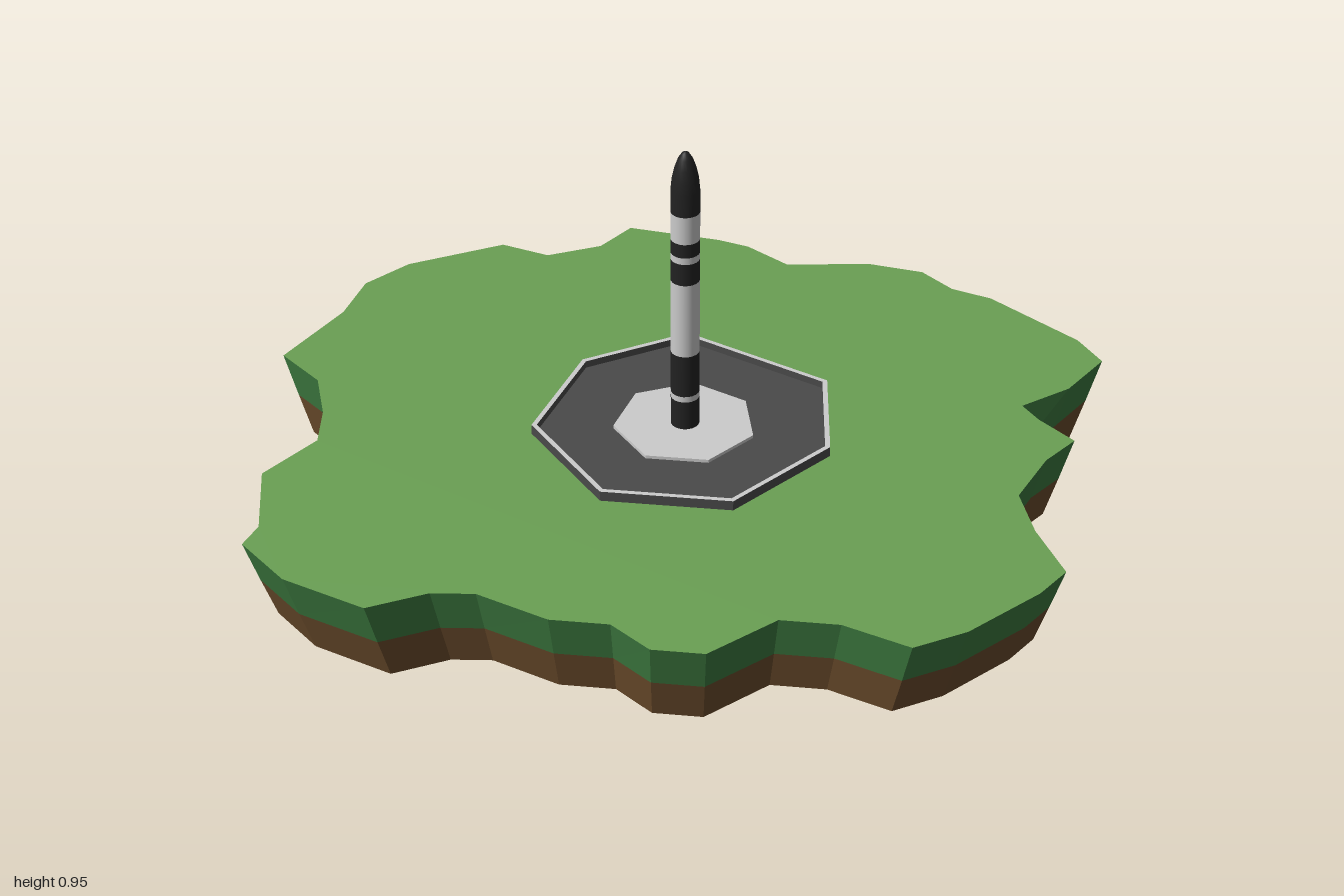
import * as THREE from 'three';

const mat = (color, flat = true) =>
  new THREE.MeshStandardMaterial({ color, flatShading: flat, side: THREE.DoubleSide });

const GRASS = 0x6aa054, TURF = 0x3d7a40, SOIL = 0x6b4c2c, UNDER = 0x4a3820;
const ASPHALT = 0x4a4a4a, GREY = 0xcccccc, BLACK = 0x222222;

// Island coastline as [x, z], clockwise seen from above
const COAST = [
  [-0.24, -0.89], [0, -0.855], [0.08, -0.83], [0.19, -0.75], [0.4, -0.78], [0.54, -0.755],
  [0.62, -0.68], [0.72, -0.645], [0.94, -0.47], [1, -0.38], [0.92, -0.245], [0.81, -0.155],
  [0.85, -0.1], [0.935, -0.02], [0.87, 0.07], [0.81, 0.22], [0.85, 0.355], [0.92, 0.5],
  [0.865, 0.585], [0.715, 0.74], [0.6, 0.81], [0.445, 0.75], [0.31, 0.75], [0.17, 0.885],
  [0.05, 0.885], [-0.045, 0.81], [-0.18, 0.81], [-0.35, 0.74], [-0.45, 0.75], [-0.58, 0.82],
  [-0.78, 0.74], [-0.9, 0.625], [-0.88, 0.555], [-0.925, 0.35], [-0.83, 0.2], [-0.845, 0.08],
  [-0.89, -0.055], [-1, -0.155], [-0.9, -0.375], [-0.875, -0.52], [-0.785, -0.63],
  [-0.56, -0.76], [-0.435, -0.72], [-0.305, -0.785],
];
const NOTCH = 11; // the inlet cuts less deeply at the base
const BASE = COAST.map(([x, z], i) => (i === NOTCH ? [0.835, -0.155] : [x * 0.936, z * 0.94]));

// Heptagonal launch area
const PAD = [[-0.02, -0.345], [0.34, -0.17], [0.37, 0.115], [0.17, 0.36],
  [-0.135, 0.36], [-0.335, 0.11], [-0.26, -0.19]];
const CENTRE = [0.02, 0.035];

const mix = (a, b, t) => a.map(([x, z], i) => [x + (b[i][0] - x) * t, z + (b[i][1] - z) * t]);
const shrink = (ring, s) =>
  ring.map(([x, z]) => [CENTRE[0] + (x - CENTRE[0]) * s, CENTRE[1] + (z - CENTRE[1]) * s]);
const toShape = (ring) => new THREE.Shape(ring.map(([x, z]) => new THREE.Vector2(x, -z)));

function add(group, name, geometry, color, flat = true) {
  const mesh = new THREE.Mesh(geometry, mat(color, flat));
  mesh.name = name;
  group.add(mesh);
  return mesh;
}

// Flat horizontal face with an optional hole
function face(ring, y, hole) {
  const shape = toShape(ring);
  if (hole) shape.holes.push(toShape(hole));
  return new THREE.ShapeGeometry(shape).rotateX(-Math.PI / 2).translate(0, y, 0);
}

// Downward facing flat face
function underside(ring, y) {
  const shape = new THREE.Shape(ring.map(([x, z]) => new THREE.Vector2(x, z)));
  return new THREE.ShapeGeometry(shape).rotateX(Math.PI / 2).translate(0, y, 0);
}

// Wall between a lower and an upper ring, facing outward
function wall(low, y0, high, y1) {
  const pos = [];
  low.forEach((a, i) => {
    const j = (i + 1) % low.length;
    const al = [a[0], y0, a[1]], bl = [low[j][0], y0, low[j][1]];
    const au = [high[i][0], y1, high[i][1]], bu = [high[j][0], y1, high[j][1]];
    pos.push(...bl, ...al, ...au, ...bl, ...au, ...bu);
  });
  const g = new THREE.BufferGeometry();
  g.setAttribute('position', new THREE.Float32BufferAttribute(pos, 3));
  g.computeVertexNormals();
  return g;
}

export function createModel() {
  const model = new THREE.Group();
  model.name = 'rocketOnIsland';

  // Island: grass top, turf band, soil band, underside
  const island = new THREE.Group();
  island.name = 'island';
  const middle = mix(BASE, COAST, 0.5);
  add(island, 'grassTop', face(COAST, 0.215), GRASS);
  add(island, 'turfBand', wall(middle, 0.105, COAST, 0.215), TURF);
  add(island, 'soilBand', wall(BASE, 0, middle, 0.105), SOIL);
  add(island, 'islandUnderside', underside(BASE, 0), UNDER);
  model.add(island);

  // Launch area: recessed floor inside a low kerb, with a central plate
  const pad = new THREE.Group();
  pad.name = 'launchPad';
  const inner = shrink(PAD, 0.965);
  add(pad, 'padOuterWall', wall(PAD, 0.213, PAD, 0.24), ASPHALT);
  add(pad, 'kerbTop', face(PAD, 0.24, inner), GREY);
  add(pad, 'kerbInnerWall', wall([...inner].reverse(), 0.222, [...inner].reverse(), 0.24), ASPHALT);
  add(pad, 'padFloor', face(inner, 0.222), ASPHALT);
  const plate = add(pad, 'centrePlate', new THREE.CylinderGeometry(0.17, 0.17, 0.012, 7), GREY);
  plate.position.set(CENTRE[0], 0.224, CENTRE[1]);
  plate.rotation.y = Math.PI;
  model.add(pad);

  // Rocket: stacked coloured body bands and an ogive nose
  const rocket = new THREE.Group();
  rocket.name = 'rocket';
  rocket.position.set(CENTRE[0], 0, CENTRE[1]);
  const R = 0.034;
  const levels = [0.23, 0.305, 0.32, 0.43, 0.622, 0.678, 0.695, 0.73, 0.8];
  for (let i = 0; i < levels.length - 1; i++) {
    const h = levels[i + 1] - levels[i];
    const band = add(rocket, `bodyBand${i + 1}`,
      new THREE.CylinderGeometry(R, R, h, 20), i % 2 ? GREY : BLACK, false);
    band.position.y = levels[i] + h / 2;
  }
  const profile = [[R, 0.8], [R, 0.855], [0.031, 0.885], [0.025, 0.912], [0.017, 0.935],
    [0.008, 0.949], [0, 0.953]].map(([r, y]) => new THREE.Vector2(r, y));
  add(rocket, 'noseCone', new THREE.LatheGeometry(profile, 20), BLACK, false);
  model.add(rocket);

  return model;
}
